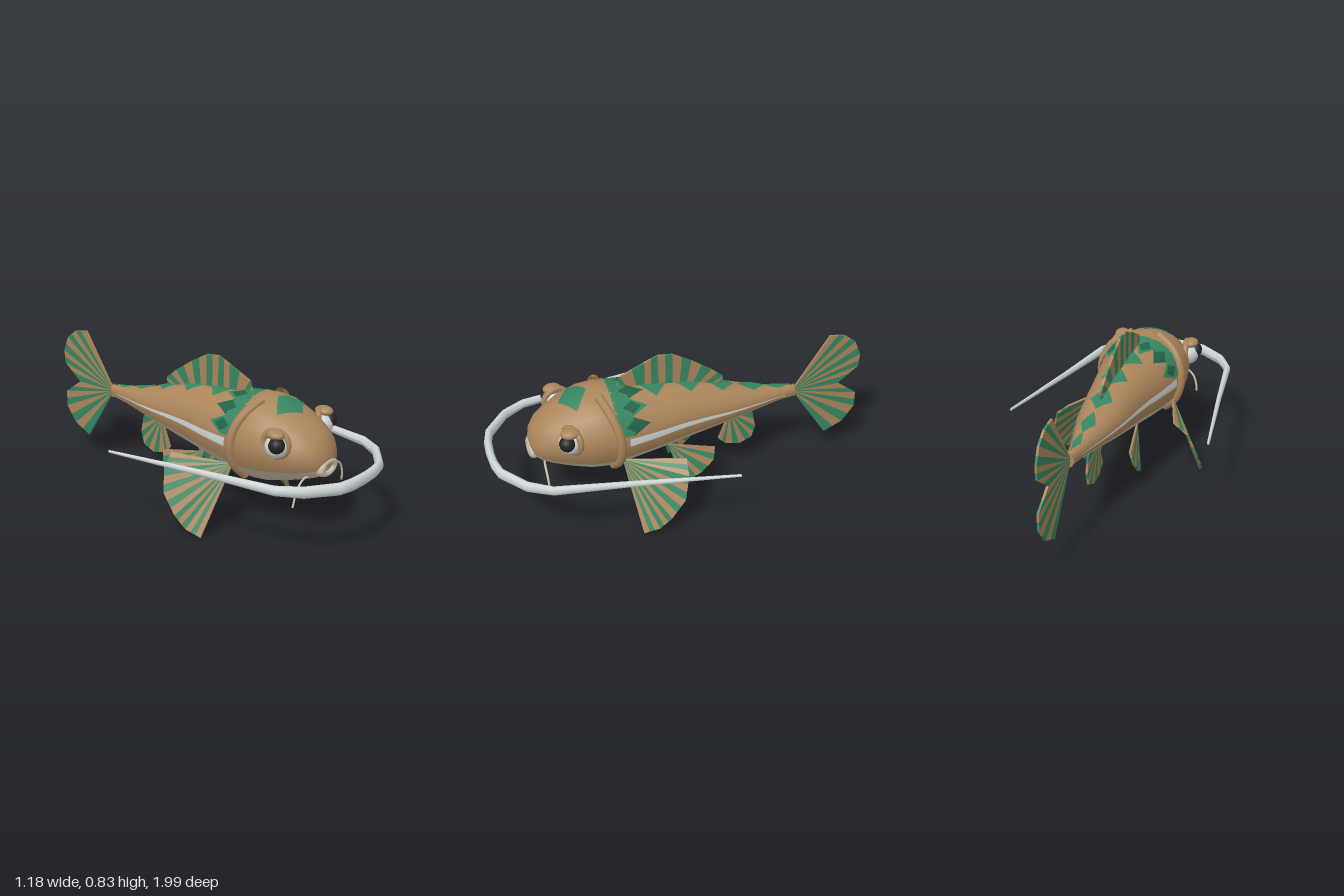
import * as THREE from 'three';

const mat = (name, color) => Object.assign(new THREE.MeshStandardMaterial({ color, side: THREE.DoubleSide }), { name });
const V = (x, y, z) => new THREE.Vector3(x, y, z);
const rad = THREE.MathUtils.degToRad;
const lerp = THREE.MathUtils.lerp;

// body profile from tail to nose: z, top, bottom, half width
const PROFILE = [
  [-0.665, 0.5, 0.42, 0.025], [-0.55, 0.515, 0.41, 0.05], [-0.4, 0.55, 0.385, 0.09], [-0.25, 0.595, 0.355, 0.125],
  [-0.13, 0.63, 0.33, 0.145], [0, 0.655, 0.305, 0.165], [0.15, 0.67, 0.28, 0.195], [0.3, 0.69, 0.258, 0.222],
  [0.36, 0.7, 0.256, 0.23], [0.42, 0.703, 0.256, 0.234], [0.5, 0.695, 0.265, 0.23], [0.6, 0.655, 0.295, 0.205],
  [0.69, 0.605, 0.325, 0.165], [0.74, 0.57, 0.345, 0.13], [0.775, 0.52, 0.37, 0.09], [0.79, 0.46, 0.41, 0.04]
];

// point on the body at angle a (degrees, 90 = back) and station z
function skin(a, z, off = 0) {
  let i = 0;
  while (i < PROFILE.length - 2 && PROFILE[i + 1][0] < z) i++;
  const p = PROFILE[i], q = PROFILE[i + 1];
  const t = THREE.MathUtils.clamp((z - p[0]) / (q[0] - p[0]), 0, 1);
  const top = lerp(p[1], q[1], t), bottom = lerp(p[2], q[2], t), w = lerp(p[3], q[3], t);
  return V((w + off) * Math.cos(rad(a)), (top + bottom) / 2 + ((top - bottom) / 2 + off) * Math.sin(rad(a)), z);
}

// smooth sheet from fn(u, v), outward where v runs around and u runs along +z
function sheet(nu, nv, fn) {
  const pos = [], idx = [];
  for (let i = 0; i <= nu; i++) for (let j = 0; j <= nv; j++) pos.push(...fn(i / nu, j / nv, i, j).toArray());
  for (let i = 0; i < nu; i++) for (let j = 0; j < nv; j++) {
    const a = i * (nv + 1) + j, b = a + 1, d = a + nv + 1, c = d + 1;
    idx.push(a, b, c, a, c, d);
  }
  const g = new THREE.BufferGeometry();
  g.setAttribute('position', new THREE.Float32BufferAttribute(pos, 3));
  g.setIndex(idx);
  g.computeVertexNormals();
  return g;
}

export function createModel() {
  const brown = mat('brown', 0xab855b), green = mat('green', 0x368561), darkGreen = mat('darkGreen', 0x236149);
  const cream = mat('cream', 0xcdc2ae), pale = mat('paleGrey', 0xcdd5d5), black = mat('black', 0x242424);

  const root = new THREE.Group();
  root.name = 'fish';
  const fish = new THREE.Group();
  fish.name = 'turnedFish';
  fish.rotation.y = rad(16.7);
  root.add(fish);
  const add = (name, geo, material, parent = fish) => {
    const m = new THREE.Mesh(geo, material);
    m.name = name;
    parent.add(m);
    return m;
  };

  // body and head shells, split into brown back and cream belly
  const shell = (stations, a0, a1, n, off) =>
    sheet(stations.length - 1, n, (u, v, i) => skin(lerp(a0, a1, v), stations[i], off));
  const zs = PROFILE.map(p => p[0]);
  const bodyZ = zs.filter(z => z < 0.45), headZ = zs.filter(z => z > 0.35);
  add('bodyBack', shell(bodyZ, -30, 210, 16, -0.006), brown);
  add('bodyBelly', shell(bodyZ, 210, 330, 8, -0.006), cream);
  add('headTop', shell(headZ, -30, 210, 16, 0), brown);
  add('headChin', shell(headZ, 210, 330, 8, 0), cream);
  const cap = (name, z, material) => add(name, sheet(1, 24, (u, v) => {
    const p = skin(v * 360, z);
    return u ? V(0, lerp(skin(90, z).y, skin(270, z).y, 0.5), z) : p;
  }), material);
  cap('noseCap', 0.79, brown);
  cap('tailCap', -0.665, brown);
  cap('headRim', 0.36, brown);

  // painted patch between four [angle, z] corners, lying just above the skin
  const patch = (name, c, material, off = 0.003, n = 6) => add(name, sheet(n, n, (u, v) =>
    skin(lerp(lerp(c[0][0], c[1][0], u), lerp(c[3][0], c[2][0], u), v),
      lerp(lerp(c[0][1], c[1][1], u), lerp(c[3][1], c[2][1], u), v), off)), material);
  const diamond = (name, a, z, da, dz, material, off) =>
    patch(name, [[a, z - dz], [a + da, z], [a, z + dz], [a - da, z]], material, off);

  diamond('foreheadDiamond', 90, 0.55, 30, 0.075, green, 0.005);
  patch('napeBand', [[12, 0.28], [12, 0.37], [168, 0.37], [168, 0.28]], green, 0, 16);
  for (let k = 0; k < 6; k++) {
    const a = 25 + k * 26;
    patch('napeTooth', [[a - 13, 0.28], [a, 0.19], [a, 0.19], [a + 13, 0.28]], k % 2 ? green : darkGreen, 0);
    diamond('napeScale', a, 0.275, 9, 0.05, darkGreen, 0.003);
  }
  [0.13, -0.06, -0.24, -0.42, -0.57].forEach(z => diamond('backDiamond', 90, z, 28, 0.08, green, 0));

  // striped fin: strips between a base line and an outer edge, given thickness along n
  function fin(name, base, edge, n, per, t = 0.006) {
    const g = new THREE.Group();
    g.name = name;
    fish.add(g);
    const at = (line, k) => {
      if (line.length === 1) return line[0].clone();
      const f = k * (line.length - 1), i = Math.min(Math.floor(f), line.length - 2);
      return line[i].clone().lerp(line[i + 1], f - i);
    };
    const count = (edge.length - 1) * per, up = n.clone().normalize().multiplyScalar(t);
    [brown, green].forEach((material, parity) => {
      const pos = [];
      const quad = (a, b, c, d) => [a, b, c, a, c, d].forEach(p => pos.push(p.x, p.y, p.z));
      for (let i = parity; i < count; i += 2) {
        const q = [at(base, i / count), at(base, (i + 1) / count), at(edge, (i + 1) / count), at(edge, i / count)];
        const f = q.map(p => p.clone().add(up)), b = q.map(p => p.clone().sub(up));
        quad(...f);
        quad(b[3], b[2], b[1], b[0]);
        quad(f[3], f[2], b[2], b[3]);
        if (i === 0) quad(f[0], f[3], b[3], b[0]);
        if (i === count - 1) quad(f[2], f[1], b[1], b[2]);
      }
      const geo = new THREE.BufferGeometry();
      geo.setAttribute('position', new THREE.Float32BufferAttribute(pos, 3));
      geo.computeVertexNormals();
      add(name + (parity ? 'GreenRays' : 'BrownRays'), geo, material, g);
    });
  }
  const mid = pts => pts.map(([z, y]) => V(0, y, z));
  const side = V(1, 0, 0);
  fin('tailFinUpper', mid([[-0.655, 0.46]]),
    mid([[-0.855, 0.77], [-0.94, 0.755], [-1.005, 0.705], [-1.04, 0.62], [-1.035, 0.545], [-0.92, 0.455]]), side, 2);
  fin('tailFinLower', mid([[-0.655, 0.46]]),
    mid([[-0.92, 0.455], [-1.035, 0.37], [-1.035, 0.28], [-0.97, 0.19], [-0.865, 0.14]]), side, 2);
  fin('dorsalFin', mid([[0.33, 0.66], [0.12, 0.65], [-0.08, 0.63], [-0.25, 0.59]]),
    mid([[0.32, 0.68], [0.3, 0.74], [0.17, 0.8], [0.1, 0.83], [0.02, 0.822], [-0.08, 0.765], [-0.19, 0.69], [-0.255, 0.635], [-0.25, 0.6]]), side, 2);
  fin('analFin', mid([[-0.3, 0.39]]),
    mid([[-0.24, 0.23], [-0.28, 0.19], [-0.36, 0.17], [-0.43, 0.2], [-0.45, 0.27], [-0.43, 0.37]]), side, 2);

  for (const s of [1, -1]) {
    const tag = s > 0 ? 'left' : 'right';
    const mirror = pts => pts.map(([x, y, z]) => V(s * x, y, z));
    fin(tag + 'PectoralFin', mirror([[0.19, 0.365, 0.345]]),
      mirror([[0.3, 0.38, 0.035], [0.37, 0.32, 0.045], [0.41, 0.2, 0.075], [0.415, 0.1, 0.15], [0.4, 0.035, 0.21], [0.378, 0.005, 0.29]]),
      V(s * 0.85, 0.4, 0.33), 3);
    fin(tag + 'PelvicFin', mirror([[0.08, 0.32, 0.07]]),
      mirror([[0.13, 0.28, -0.175], [0.145, 0.21, -0.165], [0.145, 0.14, -0.1], [0.135, 0.1, -0.04], [0.12, 0.1, 0.01]]),
      V(s, 0.3, 0.25), 2);

    // pale line along the flank
    const f = a => s > 0 ? a : 180 - a;
    patch(tag + 'SideLine', [[f(-4), 0.31], [f(0), -0.6], [f(4), -0.6], [f(8), 0.31]], pale, 0, 16);

    // gill cover ridge
    const gill = [[72, 0.43], [45, 0.395], [20, 0.365], [-5, 0.355], [-30, 0.36], [-55, 0.38]]
      .map(([a, z]) => skin(f(a), z, 0.002));
    add(tag + 'GillCover', new THREE.TubeGeometry(new THREE.CatmullRomCurve3(gill), 14, 0.024, 8), brown);

    // eye with pupil, socket ring and brow
    const ball = (name, r, x, y, z, m) => {
      const e = add(name, new THREE.SphereGeometry(r, 14, 10), m);
      e.position.set(s * x, y, z);
      return e;
    };
    ball(tag + 'Eyeball', 0.06, 0.19, 0.53, 0.61, pale);
    ball(tag + 'Pupil', 0.041, 0.222, 0.55, 0.632, black);
    ball(tag + 'Brow', 0.05, 0.205, 0.597, 0.612, brown).scale.set(0.8, 0.5, 1);
    const ring = add(tag + 'EyeSocket', new THREE.TorusGeometry(0.067, 0.016, 8, 18), brown);
    ring.position.set(s * 0.185, 0.54, 0.6);
    ring.lookAt(V(s * 1.0, 0.6, 1.15));

    // short barbel beside the mouth
    const barbel = mirror([[0.09, 0.37, 0.73], [0.14, 0.378, 0.737], [0.185, 0.345, 0.737], [0.205, 0.3, 0.735], [0.213, 0.25, 0.73]]);
    add(tag + 'Barbel', new THREE.TubeGeometry(new THREE.CatmullRomCurve3(barbel), 10, 0.006, 6), cream);
  }

  // rounded lips
  const lips = add('lips', new THREE.TorusGeometry(0.053, 0.027, 8, 20), cream);
  lips.position.set(0, 0.405, 0.772);
  lips.scale.y = 0.6;
  const lipFill = add('mouth', new THREE.SphereGeometry(0.045, 12, 8), cream);
  lipFill.position.set(0, 0.405, 0.77);
  lipFill.scale.set(1, 0.6, 0.3);

  // long tapering whisker sweeping round the front: x, z, half height, half width
  const half = [[0.095, 0.985, 0.033, 0.021], [0.175, 0.966, 0.032, 0.021], [0.315, 0.86, 0.03, 0.02],
    [0.385, 0.745, 0.026, 0.018], [0.45, 0.35, 0.017, 0.013], [0.545, -0.17, 0.007, 0.007]];
  const path = [...half.map(([x, ...r]) => [-x, ...r]).reverse(), [0, 0.99, 0.033, 0.021], ...half];
  add('longWhisker', sheet(path.length - 1, 10, (u, v, i) => {
    const [x, z, h, w] = path[i], p = path[Math.max(i - 1, 0)], q = path[Math.min(i + 1, path.length - 1)];
    const across = V(q[1] - p[1], 0, p[0] - q[0]).normalize(), a = v * Math.PI * 2;
    return V(x, 0.407 + h * Math.sin(a), z).addScaledVector(across, w * Math.cos(a));
  }), pale);

  return root;
}
